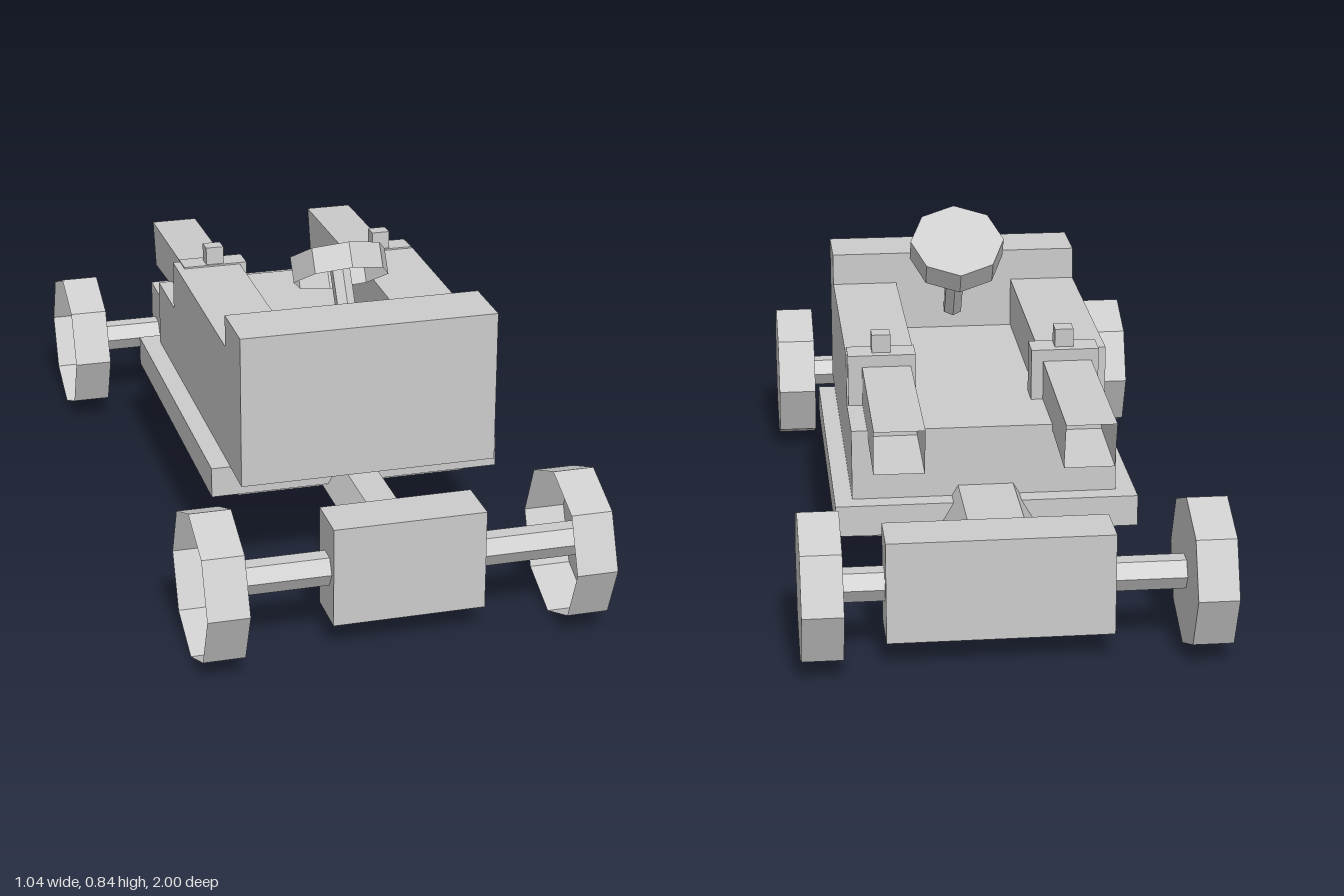
import * as THREE from 'three';

const MID = 0.035; // body centre line

export function createModel() {
  const model = new THREE.Group();
  const solid = new THREE.MeshStandardMaterial({ color: 0xcccccc, flatShading: true });
  const shell = new THREE.MeshStandardMaterial({ color: 0xcccccc, flatShading: true, side: THREE.DoubleSide });

  function add(name, geometry, material = solid) {
    const mesh = new THREE.Mesh(geometry, material);
    mesh.name = name;
    model.add(mesh);
    return mesh;
  }

  // Box given by its limits on each axis
  function box(name, x0, x1, y0, y1, z0, z1) {
    const mesh = add(name, new THREE.BoxGeometry(x1 - x0, y1 - y0, z1 - z0));
    mesh.position.set((x0 + x1) / 2, (y0 + y1) / 2, (z0 + z1) / 2);
    return mesh;
  }

  // Octagonal dish: closed at the top, open below
  function dish(radius, depth) {
    const g = new THREE.CylinderGeometry(radius, radius, depth, 8);
    g.setIndex(Array.from(g.index.array).slice(0, g.groups[2].start));
    g.clearGroups();
    return g;
  }

  // Hexagonal shaft along z
  function shaft(name, radius, z0, z1) {
    const g = new THREE.CylinderGeometry(radius, radius, z1 - z0, 6);
    g.rotateY(Math.PI / 2).rotateX(Math.PI / 2);
    add(name, g).position.set(0.032, 0.196, (z0 + z1) / 2);
  }

  // Body: floor plate, hull, side pods and front panel
  box('floorPlate', -0.35, 0.415, 0.21, 0.29, -0.545, 0.375);
  box('underFloor', -0.27, 0.34, 0.185, 0.22, -0.49, 0.33);
  box('hull', -0.3, 0.37, 0.285, 0.472, -0.495, 0.34);
  box('rightPod', -0.3, -0.125, 0.46, 0.605, -0.295, 0.34);
  box('leftPod', 0.195, 0.37, 0.46, 0.605, -0.295, 0.34);
  box('frontPanel', -0.3, 0.37, 0.288, 0.69, 0.33, 0.495);

  // Chassis shafts and axle blocks
  shaft('frontShaft', 0.081, -0.3, 0.76);
  shaft('rearShaft', 0.14, -0.8, -0.28);
  box('frontAxleBlock', -0.16, 0.228, 0.065, 0.325, 0.73, 0.862);
  box('rearAxleBlock', -0.245, 0.313, 0.065, 0.325, -0.88, -0.745);

  // Axles and dished wheels, all open towards -x
  const axles = [
    { name: 'front', z: 0.807, caps: [-0.4, 0.52], width: 0.105 },
    { name: 'rear', z: -0.807, caps: [-0.424, 0.52], width: 0.101 },
  ];
  for (const { name, z, caps, width } of axles) {
    const axle = new THREE.CylinderGeometry(0.043, 0.043, 0.96, 6).rotateZ(-Math.PI / 2);
    add(name + 'Axle', axle).position.set(0.03, 0.195, z - 0.005);
    for (const cap of caps) {
      const wheel = dish(0.193, width).rotateZ(-Math.PI / 2);
      add(name + 'Wheel', wheel, shell).position.set(cap - width / 2, 0.193, z);
    }
  }

  // Steering wheel on a leaning column
  const steering = new THREE.Group();
  steering.name = 'steering';
  steering.position.set(MID + 0.004, 0.768, 0.17);
  steering.rotation.x = -0.57;
  const rim = add('steeringWheel', dish(0.127, 0.068), shell);
  rim.position.y = -0.034;
  const column = add('steeringColumn', new THREE.CylinderGeometry(0.027, 0.027, 0.28, 6));
  column.position.y = -0.145;
  steering.add(rim, column);
  model.add(steering);

  // Rear tubes, open at the back, each with a bracket and a stud
  for (const [x, bracketX] of [[-0.199, -0.193], [0.267, 0.279]]) {
    const tube = new THREE.BoxGeometry(0.125, 1, 1);
    tube.setIndex(Array.from(tube.index.array).slice(0, 30)); // leave out the back face
    tube.clearGroups();
    const p = tube.attributes.position;
    for (let i = 0; i < p.count; i++) {
      const top = p.getY(i) > 0;
      if (p.getZ(i) > 0) p.setXYZ(i, p.getX(i), top ? 0.577 : 0.473, -0.27);
      else p.setXYZ(i, p.getX(i), top ? 0.561 : 0.44, top ? -0.752 : -0.72);
    }
    tube.computeVertexNormals();
    add('rearTube', tube, shell).position.x = x;

    box('tubeBracket', bracketX - 0.087, bracketX + 0.087, 0.473, 0.608, -0.306, -0.235).rotation.x = -0.035;
    box('bracketStud', bracketX - 0.024, bracketX + 0.024, 0.595, 0.656, -0.288, -0.244).rotation.x = -0.035;
  }

  return model;
}
